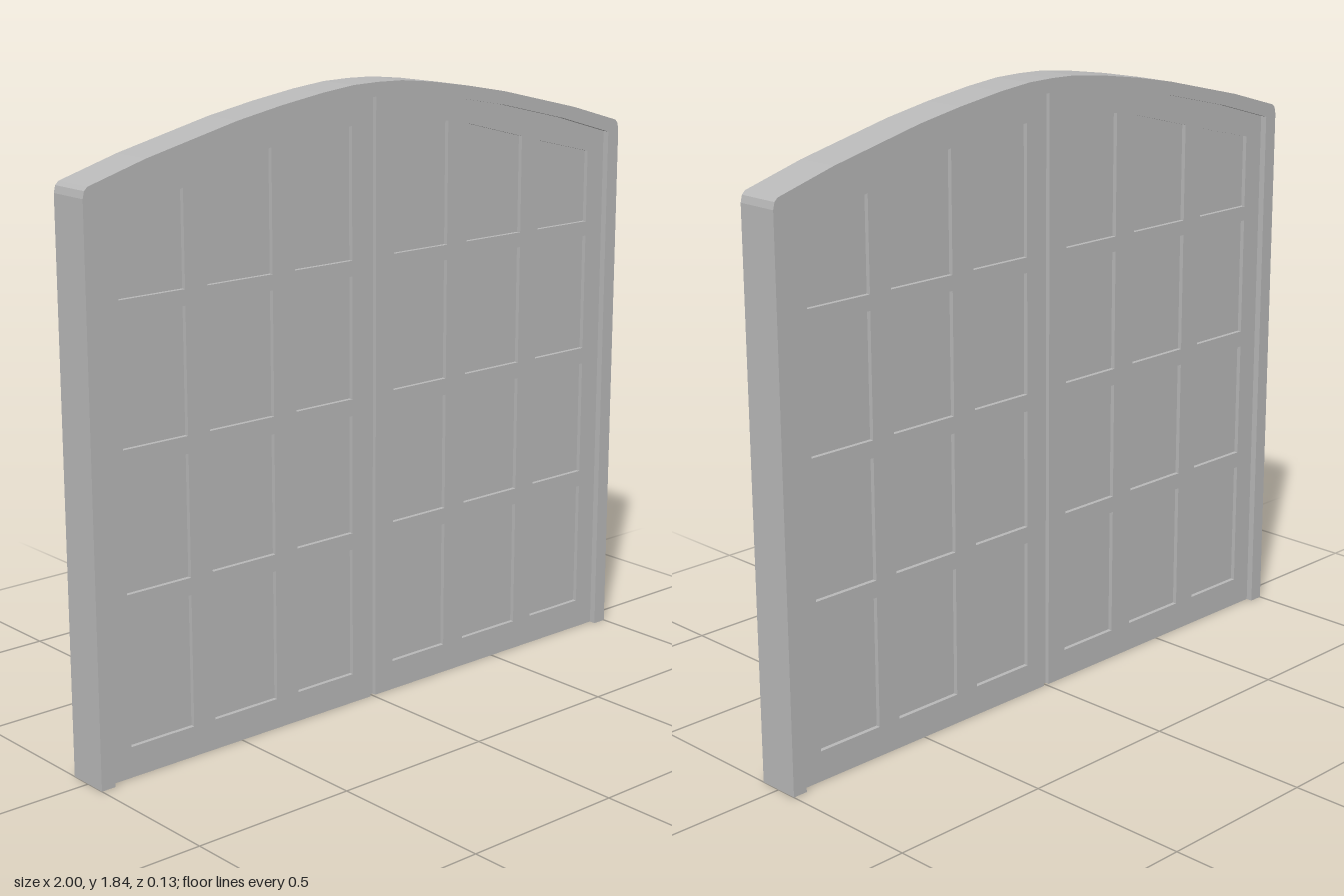
import * as THREE from 'three';

// Right half of the outer and inner arch, from the middle outwards
const OUTER = [[0, 1.84], [0.09, 1.838], [0.2, 1.826], [0.35, 1.803], [0.5, 1.775], [0.8, 1.704], [0.985, 1.65], [0.995, 1.64], [1, 1.62]];
const INNER = [[0, 1.8], [0.09, 1.797], [0.2, 1.786], [0.35, 1.763], [0.5, 1.735], [0.75, 1.675], [0.955, 1.615]];
const LEAF_DEPTH = 0.09;

// Panel columns: left, right, top at left, top at right
const COLUMNS = [[0.08, 0.29, 1.722, 1.705], [0.37, 0.595, 1.69, 1.632], [0.67, 0.885, 1.612, 1.56]];
const ROWS = [[0.09, 0.48], [0.53, 0.885], [0.935, 1.295]];
const TOP_ROW = 1.34;

const points = (list, side = 1) => list.map(([x, y]) => new THREE.Vector2(x * side, y));

// Full symmetrical arch, left end to right end
const arch = (half) => [...points(half.slice(1), -1).reverse(), ...points(half)];

export function createModel() {
  const gate = new THREE.Group();
  gate.name = 'archedGate';
  const grey = new THREE.MeshStandardMaterial({ color: 0xb8b8b8 });
  grey.name = 'grey';

  const slab = (name, shape, depth) => {
    const geometry = new THREE.ExtrudeGeometry(shape, { depth, bevelEnabled: false });
    geometry.translate(0, 0, -depth / 2);
    const mesh = new THREE.Mesh(geometry, grey);
    mesh.name = name;
    gate.add(mesh);
  };

  // Jambs and arched head in one band
  const at = (x) => new THREE.Vector2(x, 0);
  slab('frame', new THREE.Shape([
    at(-1), ...arch(OUTER), at(1), at(0.955), ...arch(INNER).reverse(), at(-0.955),
  ]), 0.13);

  // Two leaves pierced by the panel openings, with a narrow gap between them
  for (const side of [1, -1]) {
    const outline = [[0.01, 0], [0.01, 1.8], ...INNER.slice(1), [0.955, 0]];
    const leaf = new THREE.Shape(points(outline, side));
    for (const [l, r, topL, topR] of COLUMNS) {
      for (const [b, t] of ROWS) {
        leaf.holes.push(new THREE.Path(points([[l, b], [r, b], [r, t], [l, t]], side)));
      }
      leaf.holes.push(new THREE.Path(points([[l, TOP_ROW], [r, TOP_ROW], [r, topR], [l, topL]], side)));
    }
    slab(side > 0 ? 'leftLeaf' : 'rightLeaf', leaf, LEAF_DEPTH);
  }

  // Recessed panels, seen through the openings on both faces
  slab('recessedPanels', new THREE.Shape([at(-0.955), ...arch(INNER), at(0.955)]), LEAF_DEPTH - 0.026);

  return gate;
}
